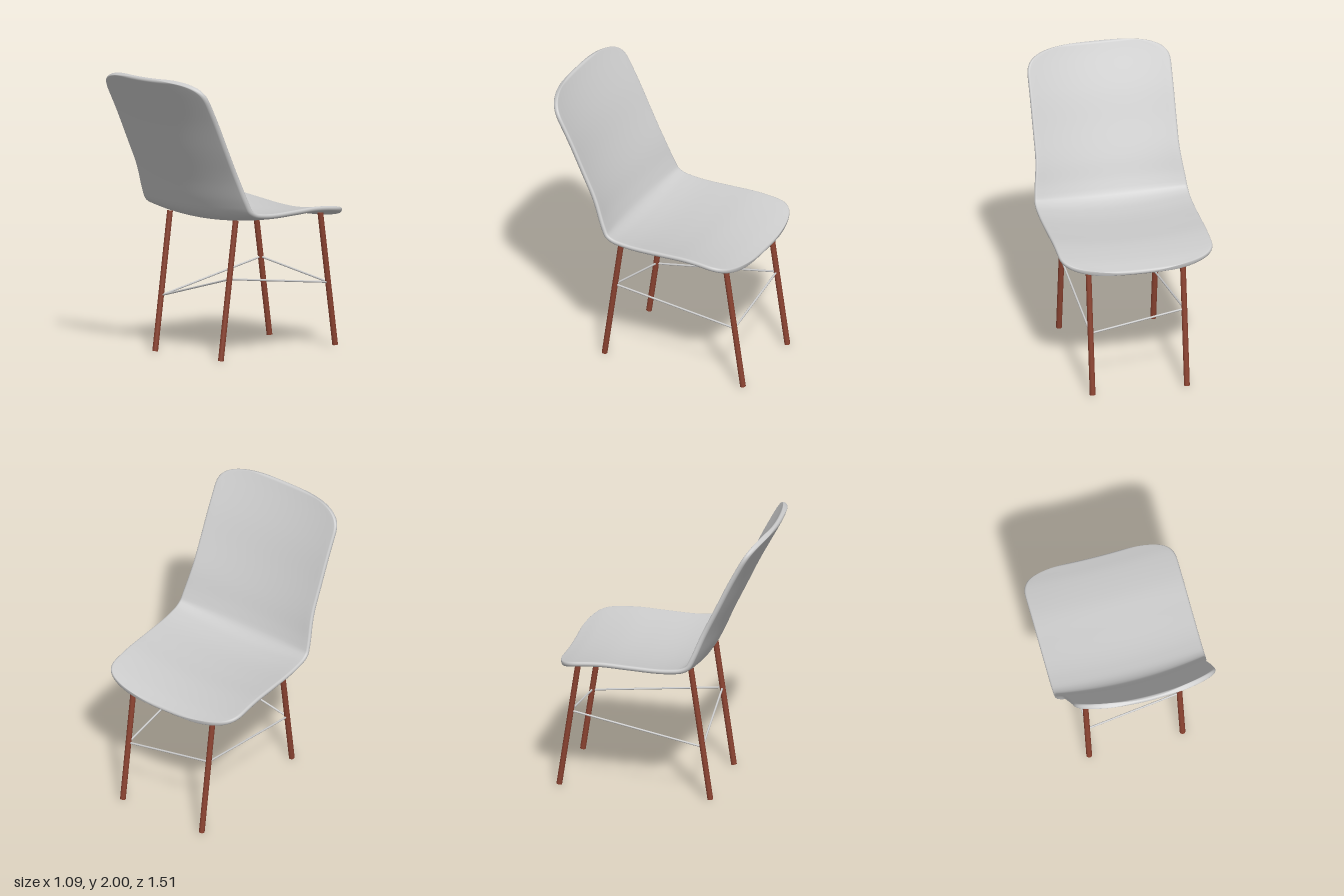
import * as THREE from 'three';

const grey = new THREE.MeshStandardMaterial({ color: 0xcccccc });
const wood = new THREE.MeshStandardMaterial({ color: 0x8b4331 });

// Centre line of the shell from the top of the back to the front lip, as [z, y]
const PROFILE = [
  [0.745, 1.993], [0.71, 1.925], [0.58, 1.68], [0.48, 1.47], [0.38, 1.26], [0.31, 1.1],
  [0.265, 1.02], [0.2, 0.98], [0.1, 0.963], [0, 0.958], [-0.2, 0.963], [-0.4, 0.968],
  [-0.6, 0.95], [-0.69, 0.932], [-0.735, 0.922],
];

// Thin dished shell with rounded corners, swept as closed cross-sections
function shellGeometry() {
  const rows = 120, across = 24, round = 8, half = 0.018, corner = 0.22;
  const curve = new THREE.CatmullRomCurve3(PROFILE.map(([z, y]) => new THREE.Vector3(0, y, z)));
  curve.arcLengthDivisions = 1000;
  const length = curve.getLength();
  const pos = [], index = [];
  const ring = 2 * (across + round);

  for (let i = 0; i <= rows; i++) {
    const u = 0.5 - 0.5 * Math.cos((Math.PI * i) / rows);
    const p = curve.getPointAt(u), t = curve.getTangentAt(u);
    const d = Math.min(u, 1 - u) * length;
    // Width narrows up the back and rounds off at both ends
    const up = THREE.MathUtils.smoothstep(p.y, 0.98, 1.35);
    const k = Math.max(0, 1 - d / corner);
    const w = (0.545 - 0.035 * up) * Math.cbrt(Math.max(0, 1 - k ** 3));
    const e = Math.max(0, 1 - d / half);
    const h = Math.min(w, half * Math.sqrt(Math.max(0, 1 - e * e)));
    const dish = 0.047 + 0.015 * up;

    const add = (x, off) => {
      const o = off + dish * (x / 0.52) ** 2;
      pos.push(x, p.y - t.z * o, p.z + t.y * o);
    };
    for (const side of [1, -1]) {
      for (let j = 0; j < across; j++) add(side * (w - h) * ((2 * j) / across - 1), side * h);
      for (let j = 0; j < round; j++) {
        const a = (Math.PI * j) / round;
        add(side * (w - h + h * Math.sin(a)), side * h * Math.cos(a));
      }
    }
  }
  for (let i = 0; i < rows; i++) {
    for (let j = 0; j < ring; j++) {
      const a = i * ring + j, b = i * ring + ((j + 1) % ring);
      index.push(a, b, a + ring, b, b + ring, a + ring);
    }
  }
  const g = new THREE.BufferGeometry();
  g.setAttribute('position', new THREE.Float32BufferAttribute(pos, 3));
  g.setIndex(index);
  g.computeVertexNormals();
  return g;
}

// Round bar between two points
function bar(name, a, b, radius, sides, material) {
  const dir = b.clone().sub(a);
  const mesh = new THREE.Mesh(new THREE.CylinderGeometry(radius, radius, dir.length(), sides), material);
  mesh.position.copy(a).add(b).multiplyScalar(0.5);
  mesh.quaternion.setFromUnitVectors(new THREE.Vector3(0, 1, 0), dir.normalize());
  mesh.name = name;
  return mesh;
}

export function createModel() {
  const model = new THREE.Group();
  model.name = 'chair';

  const shell = new THREE.Mesh(shellGeometry(), grey);
  shell.name = 'seatShell';
  model.add(shell);

  // Legs in order around the chair, with the height where the braces meet each one
  const back = { topY: 0.975, topZ: 0.2, footY: 0.004, footZ: 0.34 };
  const front = { topY: 0.955, topZ: -0.6, footY: 0.015, footZ: -0.74 };
  const legs = [
    { name: 'backRightLeg', x: -0.325, joint: 0.39, ...back },
    { name: 'backLeftLeg', x: 0.345, joint: 0.57, ...back },
    { name: 'frontLeftLeg', x: 0.345, joint: 0.46, ...front },
    { name: 'frontRightLeg', x: -0.325, joint: 0.57, ...front },
  ];
  const joints = legs.map((l) => {
    const foot = new THREE.Vector3(l.x, l.footY, l.footZ);
    const top = new THREE.Vector3(l.x, l.topY, l.topZ);
    model.add(bar(l.name, foot, top, 0.02, 24, wood));
    return foot.clone().lerp(top, (l.joint - l.footY) / (l.topY - l.footY));
  });

  // Thin slanting braces from leg to leg
  joints.forEach((j, i) => model.add(bar('brace', j, joints[(i + 1) % 4], 0.007, 12, grey)));

  return model;
}
